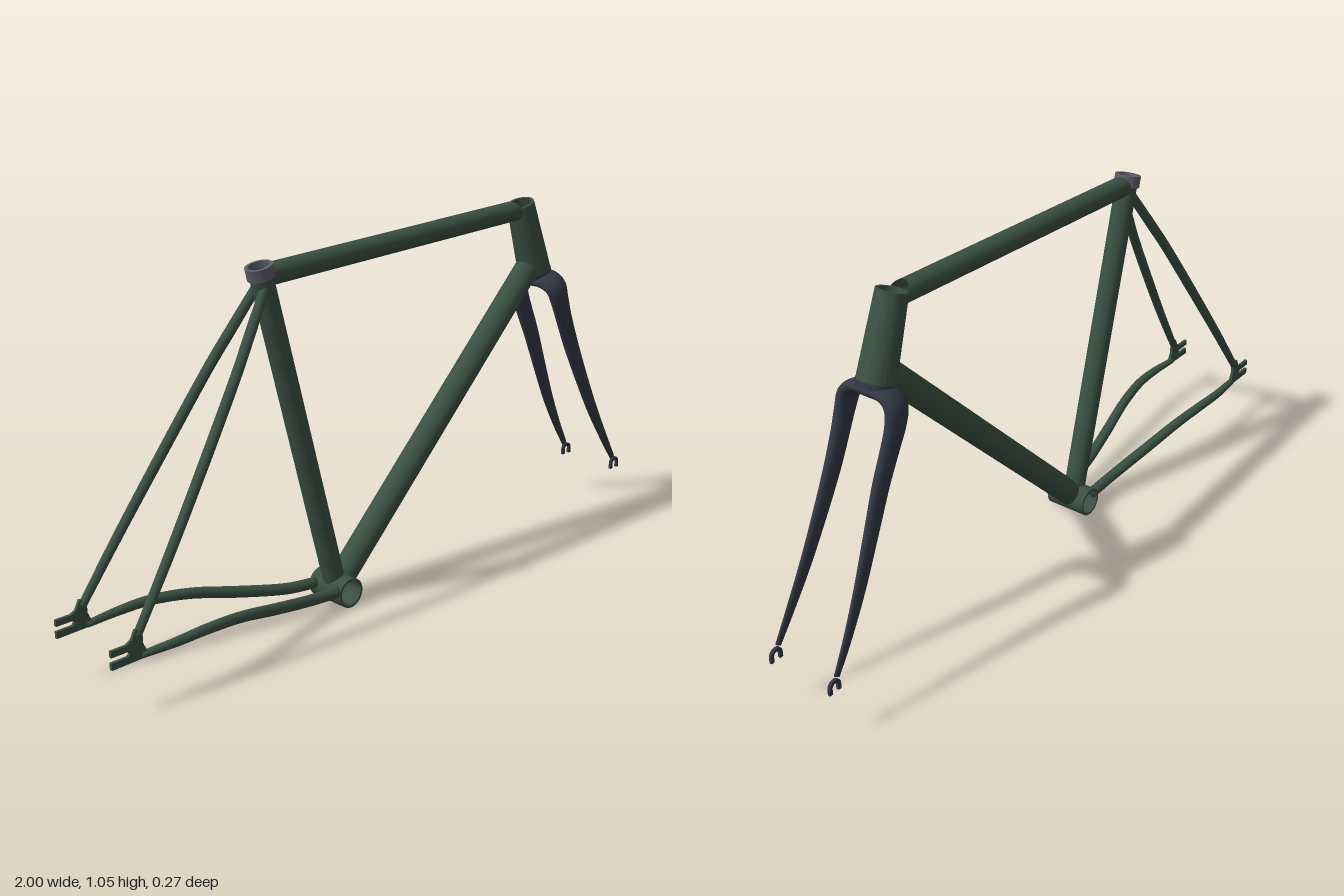
import * as THREE from 'three';
import { toCreasedNormals } from 'three/addons/utils/BufferGeometryUtils.js';

const V = (x, y, z = 0) => new THREE.Vector3(x, y, z);
const UP = V(0, 1, 0);
const mat = (color) => new THREE.MeshStandardMaterial({ color, side: THREE.DoubleSide });
const green = mat(0x3a5042), navy = mat(0x333845), grey = mat(0x5c5e68);

// Main joints of the frame
const BB = V(-0.166, 0.043), SEAT = V(-0.418, 0.995);
const HEAD_LOW = V(0.662, 0.826), HEAD_TOP = V(0.588, 1.039);
const SHELL_R = 0.043;
const seatDir = SEAT.clone().sub(BB).normalize();
const headDir = HEAD_TOP.clone().sub(HEAD_LOW).normalize();

function add(group, name, geometry, material) {
  const mesh = new THREE.Mesh(geometry, material);
  mesh.name = name;
  group.add(mesh);
  return mesh;
}

// Hollow ring or sleeve standing on `base` along `dir`
function sleeve(base, dir, len, rLow, rTop, wall) {
  const profile = [[rLow, 0], [rTop, len], [rTop - wall, len], [rLow - wall, 0], [rLow, 0]];
  const g = new THREE.LatheGeometry(profile.map(([r, y]) => new THREE.Vector2(r, y)), 40);
  g.applyQuaternion(new THREE.Quaternion().setFromUnitVectors(UP, dir));
  g.translate(base.x, base.y, base.z);
  return toCreasedNormals(g, 0.6);
}

// Round tube from a to b, each end optionally mitred onto a cylinder {axis, r} through that point
function tube(a, b, r, mitreA, mitreB) {
  const dir = b.clone().sub(a), len = dir.length();
  dir.normalize();
  const q = new THREE.Quaternion().setFromUnitVectors(UP, dir);
  const g = new THREE.CylinderGeometry(r, r, len, 32, 1, true).translate(0, len / 2, 0);
  const p = g.attributes.position;
  for (let i = 0; i < p.count; i++) {
    const atEnd = p.getY(i) > len / 2, m = atEnd ? mitreB : mitreA;
    if (!m) continue;
    const x = p.getX(i), z = p.getZ(i), sign = atEnd ? -1 : 1;
    const h = m.axis.clone().applyQuaternion(q.clone().invert());
    const cross = Math.abs(h.x) < 0.01;
    const depth = Math.sqrt(Math.max(0, m.r ** 2 - (cross ? x * x : z * z)));
    p.setY(i, p.getY(i) + (cross ? sign * depth : x * h.y / h.x + sign * depth / Math.abs(h.x)));
  }
  g.applyQuaternion(q).translate(a.x, a.y, a.z);
  return g;
}

// Sweep an ellipse along smooth points; rows are [x, y, z, half width along ref, other half width]
function sweep(rows, ref, steps, sides = 20) {
  const path = new THREE.CatmullRomCurve3(rows.map((r) => V(r[0], r[1], r[2])));
  const size = new THREE.CatmullRomCurve3(rows.map((r, i) => V(r[3], r[4], i)));
  // keep the parameter uniform so sizes follow their own points
  path.curveType = size.curveType = 'catmullrom';
  const pos = [], idx = [];
  for (let k = -1; k <= steps + 1; k++) {
    const t = THREE.MathUtils.clamp(k / steps, 0, 1);
    const cap = k < 0 || k > steps ? 0 : 1;
    const c = path.getPoint(t), s = size.getPoint(t), tan = path.getTangent(t);
    const B = ref.clone().addScaledVector(tan, -ref.dot(tan)).normalize();
    const N = tan.clone().cross(B);
    for (let j = 0; j < sides; j++) {
      const a = (j / sides) * Math.PI * 2;
      const v = c.clone().addScaledVector(B, cap * s.x * Math.cos(a)).addScaledVector(N, cap * s.y * Math.sin(a));
      pos.push(v.x, v.y, v.z);
    }
  }
  for (let i = 0; i < steps + 2; i++) {
    for (let j = 0; j < sides; j++) {
      const a = i * sides + j, b = i * sides + (j + 1) % sides;
      idx.push(a, b, a + sides, b, b + sides, a + sides);
    }
  }
  const g = new THREE.BufferGeometry();
  g.setAttribute('position', new THREE.Float32BufferAttribute(pos, 3));
  g.setIndex(idx);
  g.computeVertexNormals();
  return g;
}

// Flat plate in the side plane, centred on z
function plate(shape, thick, z) {
  return new THREE.ExtrudeGeometry(shape, { depth: thick, bevelEnabled: false, curveSegments: 12 })
    .translate(0, 0, z - thick / 2);
}

export function createModel() {
  const model = new THREE.Group();
  model.name = 'bicycleFrame';

  // Bottom bracket shell, open right through
  add(model, 'bottomBracketShell', sleeve(V(BB.x, BB.y, -0.063), V(0, 0, 1), 0.126, SHELL_R, SHELL_R, 0.007), green);

  // Main triangle
  const onShell = { axis: V(0, 0, 1), r: SHELL_R - 0.003 };
  const onHead = { axis: headDir, r: 0.041 };
  add(model, 'seatTube', tube(BB, SEAT.clone().addScaledVector(seatDir, -0.01), 0.031, onShell, null), green);
  add(model, 'downTube', tube(BB, V(0.652, 0.862), 0.037, onShell, onHead), green);
  add(model, 'topTube', tube(V(-0.412, 0.972), V(0.594, 1.021), 0.03,
    { axis: seatDir, r: 0.0305 }, { axis: headDir, r: 0.038 }), green);
  add(model, 'headTube', sleeve(HEAD_LOW, headDir, HEAD_TOP.distanceTo(HEAD_LOW), 0.05, 0.041, 0.008), green);
  add(model, 'seatCollar', sleeve(SEAT.clone().addScaledVector(seatDir, -0.028), seatDir, 0.033, 0.037, 0.037, 0.009), grey);

  // Rear stays and dropouts, mirrored left and right
  const rear = new THREE.Shape([
    [-1, 0.178], [-0.955, 0.178], [-0.94, 0.186], [-0.928, 0.21], [-0.908, 0.205], [-0.908, 0.17],
    [-0.89, 0.13], [-1, 0.128], [-1, 0.147], [-0.952, 0.147], [-0.946, 0.154], [-0.952, 0.161], [-1, 0.161],
  ].map(([x, y]) => new THREE.Vector2(x, y)));
  for (const s of [1, -1]) {
    const side = s > 0 ? 'left' : 'right';
    const seatStay = [
      [-0.412, 0.945, 0.016, 0.013, 0.013], [-0.48, 0.845, 0.036, 0.014, 0.014],
      [-0.55, 0.742, 0.056, 0.014, 0.014], [-0.66, 0.578, 0.078, 0.014, 0.014],
      [-0.8, 0.37, 0.102, 0.013, 0.013], [-0.92, 0.192, 0.117, 0.011, 0.011],
    ];
    const chainStay = [
      [-0.2, 0.052, 0.046, 0.016, 0.016], [-0.31, 0.064, 0.053, 0.016, 0.016],
      [-0.46, 0.095, 0.078, 0.016, 0.016], [-0.59, 0.125, 0.102, 0.015, 0.015],
      [-0.71, 0.139, 0.119, 0.014, 0.014], [-0.81, 0.139, 0.123, 0.013, 0.012],
      [-0.91, 0.137, 0.117, 0.01, 0.009],
    ];
    const mirror = (rows) => rows.map(([x, y, z, ...r]) => [x, y, z * s, ...r]);
    add(model, side + 'SeatStay', sweep(mirror(seatStay), V(0, 0, 1), 40), green);
    add(model, side + 'ChainStay', sweep(mirror(chainStay), V(0, 0, 1), 40), green);
    add(model, side + 'RearDropout', plate(rear, 0.009, 0.118 * s), green);
  }

  // Fork: one arch running down both blades, flattened sideways and tapering to the tips
  const fork = new THREE.Group();
  fork.name = 'fork';
  model.add(fork);
  const half = [
    [0.668, 0.806, 0, 0.044, 0.02], [0.669, 0.804, 0.045, 0.043, 0.02],
    [0.677, 0.783, 0.074, 0.04, 0.019], [0.691, 0.74, 0.08, 0.035, 0.018],
    [0.714, 0.685, 0.079, 0.031, 0.017], [0.752, 0.6, 0.078, 0.029, 0.015],
    [0.803, 0.486, 0.083, 0.025, 0.0125], [0.861, 0.364, 0.09, 0.021, 0.009],
    [0.92, 0.257, 0.096, 0.015, 0.007], [0.968, 0.178, 0.099, 0.01, 0.005],
  ];
  const arch = [...half.slice(1).reverse().map(([x, y, z, ...r]) => [x, y, -z, ...r]), ...half];
  add(fork, 'crownAndBlades', sweep(arch, V(headDir.y, -headDir.x), 120, 28), navy);
  add(fork, 'crownRace', sleeve(HEAD_LOW.clone().addScaledVector(headDir, -0.014), headDir, 0.016, 0.05, 0.051, 0.03), navy);

  // Hook-shaped fork ends opening downwards
  const hook = new THREE.Shape();
  hook.moveTo(0.999, 0.138);
  hook.lineTo(0.999, 0.155);
  hook.absarc(0.979, 0.155, 0.02, 0, Math.PI, false);
  hook.lineTo(0.959, 0.138);
  hook.lineTo(0.969, 0.138);
  hook.lineTo(0.969, 0.155);
  hook.absarc(0.979, 0.155, 0.01, Math.PI, 0, true);
  hook.lineTo(0.989, 0.138);
  for (const s of [1, -1]) add(fork, (s > 0 ? 'left' : 'right') + 'ForkEnd', plate(hook, 0.008, 0.099 * s), navy);

  return model;
}
